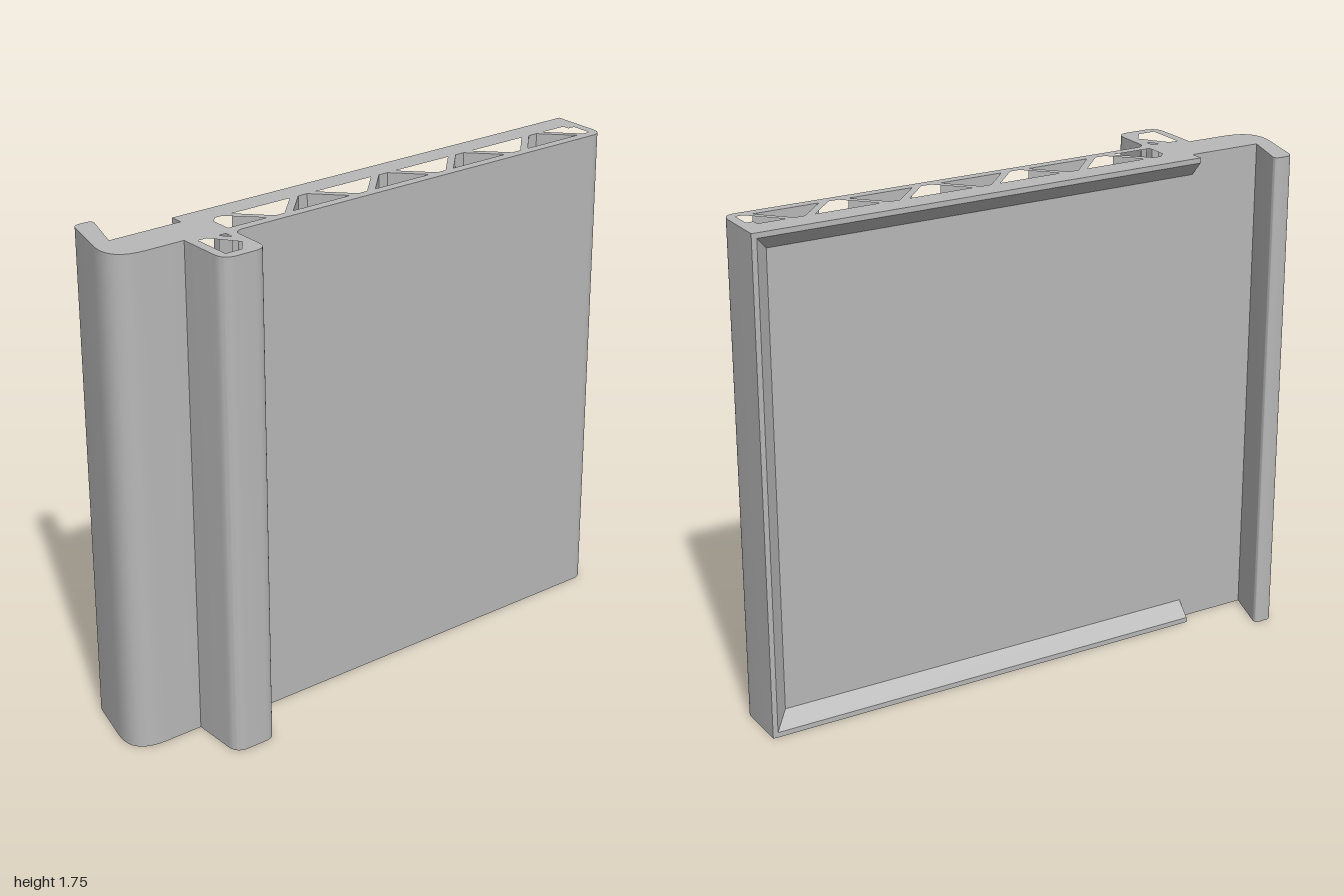
import * as THREE from 'three';
import { toCreasedNormals } from 'three/addons/utils/BufferGeometryUtils.js';

const HEIGHT = 1.75;
const BACK = -0.085; // back face of the panel
const FRONT = 0.087; // front face of the panel
const LIP = -0.133; // crest of the raised rim

// Closed path through [x, z, cornerRadius] points; shape y is -z
function trace(path, points) {
  const n = points.length;
  points.forEach(([x, z, r = 0], i) => {
    const corner = new THREE.Vector2(x, -z);
    const toward = ([px, pz]) => {
      const d = new THREE.Vector2(px, -pz).sub(corner).normalize();
      return corner.clone().addScaledVector(d, r);
    };
    const a = toward(points[(i + n - 1) % n]);
    const b = toward(points[(i + 1) % n]);
    if (i === 0) path.moveTo(a.x, a.y);
    else path.lineTo(a.x, a.y);
    if (r > 0) path.quadraticCurveTo(corner.x, corner.y, b.x, b.y);
  });
  path.closePath();
  return path;
}

// Panel, hook and front leg share one profile, extruded upward
function panelGeometry() {
  const shape = trace(new THREE.Shape(), [
    [-0.945, -0.267, 0.025], [-0.872, -0.267, 0.025], [-0.93, BACK],
    [1, BACK], [1, FRONT, 0.05], [-0.583, FRONT, 0.035],
    [-0.583, 0.267, 0.05], [-0.75, 0.267, 0.05], [-0.75, 0.059], [-1.028, 0.059, 0.14],
  ]);
  const top = -0.048, bottom = 0.053, wide = 0.115, tip = 0.018;
  const holes = [
    // Open ends of the truss
    [[-0.58, bottom], [-0.58, -0.025], [-0.557, top], [-0.53, top], [-0.43, bottom]],
    [[0.843, top], [0.94, top], [0.94, -0.022], [0.967, -0.022], [0.967, bottom], [0.94, bottom]],
    // Openings in the leg
    [[-0.717, FRONT], [-0.685, FRONT], [-0.617, 0.18], [-0.655, 0.23], [-0.717, 0.23]],
    [[-0.642, 0.09], [-0.615, 0.09], [-0.615, 0.125]],
  ];
  // Alternating triangles of the truss
  for (let i = 0; i < 8; i++) {
    const c = -0.378 + i * 0.1675;
    const [wideZ, tipZ] = i % 2 ? [bottom, top] : [top, bottom];
    holes.push([[c - wide, wideZ], [c + wide, wideZ], [c + tip, tipZ], [c - tip, tipZ]]);
  }
  shape.holes = holes.map((h) => trace(new THREE.Path(), h));
  const geo = new THREE.ExtrudeGeometry(shape, { depth: HEIGHT, bevelEnabled: false, curveSegments: 10 });
  geo.rotateX(-Math.PI / 2);
  return toCreasedNormals(geo, 0.5);
}

// Sloped lip swept with mitred corners along three sides of the back
function rimGeometry() {
  const stations = [
    [-0.663, 0, 0, 1], [1, 0, -1, 1], [1, HEIGHT, -1, -1], [-0.663, HEIGHT, 0, -1],
  ];
  const section = [[0, BACK], [0, LIP], [0.018, LIP], [0.07, BACK]]; // [inset, z]
  const positions = [];
  const index = [];
  for (const [x, y, dx, dy] of stations) {
    for (const [inset, z] of section) positions.push(x + dx * inset, y + dy * inset, z);
  }
  for (let s = 0; s < 3; s++) {
    for (let j = 0; j < 3; j++) {
      const a = s * 4 + j;
      index.push(a, a + 1, a + 4, a + 1, a + 5, a + 4);
    }
  }
  index.push(0, 2, 1, 0, 3, 2, 12, 13, 14, 12, 14, 15); // end caps
  const geo = new THREE.BufferGeometry();
  geo.setAttribute('position', new THREE.Float32BufferAttribute(positions, 3));
  geo.setIndex(index);
  const flat = geo.toNonIndexed();
  flat.computeVertexNormals();
  return flat;
}

export function createModel() {
  const grey = new THREE.MeshStandardMaterial({ color: 0xb8b8b8 });
  grey.name = 'light grey';

  const model = new THREE.Group();
  model.name = 'hookedPanel';
  const add = (name, geometry) => {
    const mesh = new THREE.Mesh(geometry, grey);
    mesh.name = name;
    model.add(mesh);
  };
  add('panelWithHookAndLeg', panelGeometry());
  add('backRim', rimGeometry());
  return model;
}
